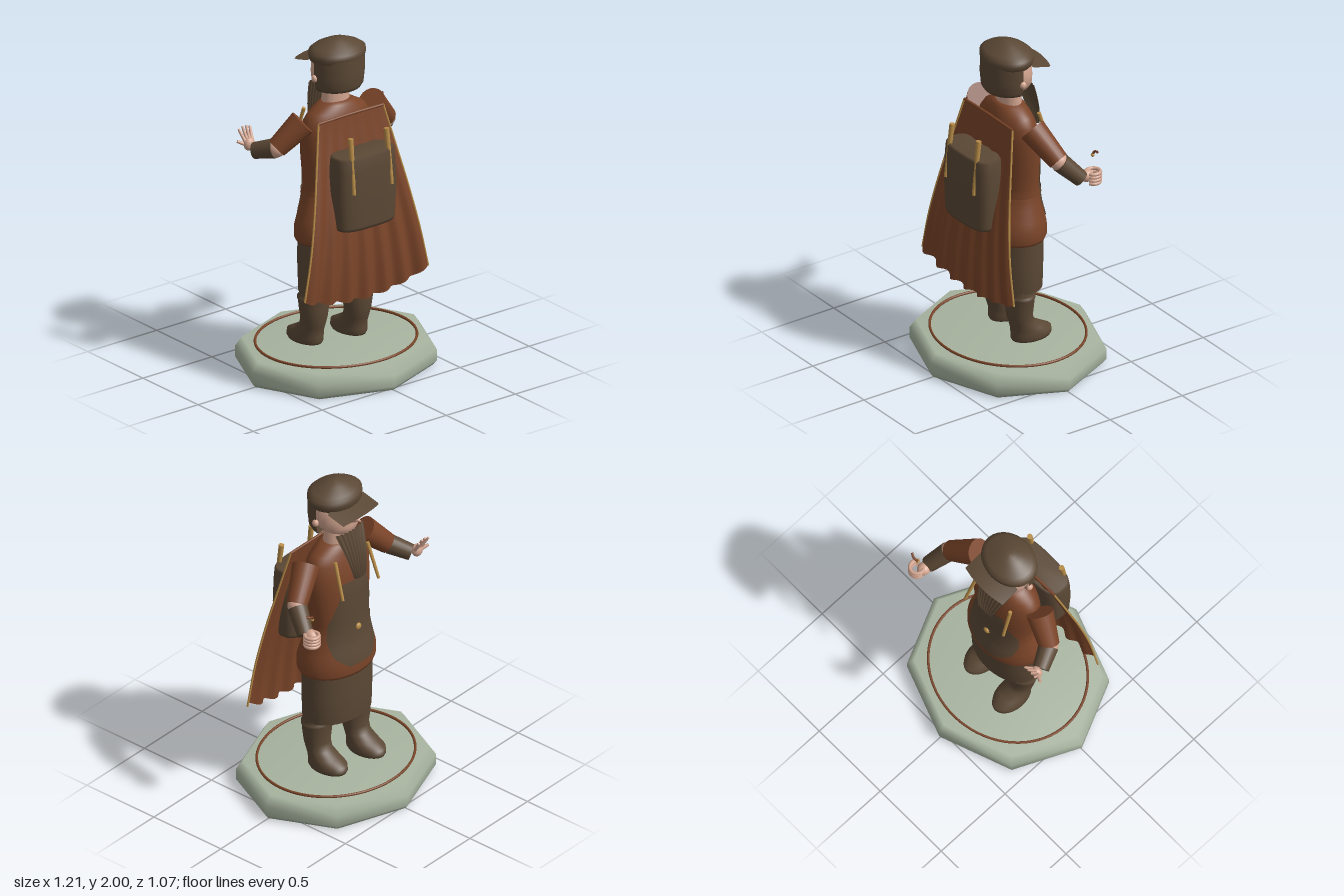
import * as THREE from 'three';

const V = (x, y, z) => new THREE.Vector3(x, y, z);
const mat = (name, color, side = THREE.FrontSide) => {
  const m = new THREE.MeshStandardMaterial({ color, side });
  m.name = name;
  return m;
};

// Smooth surface from a function of u and v in 0..1, optionally closed in u
function grid(nu, nv, fn, closed = false) {
  const pos = [], idx = [], w = closed ? nu : nu + 1;
  for (let j = 0; j <= nv; j++) for (let i = 0; i < w; i++) pos.push(...fn(i / nu, j / nv));
  for (let j = 0; j < nv; j++) for (let i = 0; i < nu; i++) {
    const a = j * w + i, b = j * w + ((i + 1) % w);
    idx.push(a, b, b + w, a, b + w, a + w);
  }
  const g = new THREE.BufferGeometry();
  g.setAttribute('position', new THREE.Float32BufferAttribute(pos, 3));
  g.setIndex(idx);
  g.computeVertexNormals();
  return g;
}

// Rows are [y, centre z, radius x, radius z]; p below 1 squares the section
const ring = (r, a, x = 0, p = 1, off = 0) => {
  const s = Math.sin(a), c = Math.cos(a);
  return [x + Math.sign(s) * Math.abs(s) ** p * (r[2] + off), r[0],
    r[1] + Math.sign(c) * Math.abs(c) ** p * (r[3] + off)];
};
const loft = (rows, x = 0, p = 1) => grid(48, rows.length - 1,
  (u, v) => ring(rows[Math.round(v * (rows.length - 1))], u * Math.PI * 2, x, p), true);
function rowAt(rows, y) {
  let i = 0;
  while (i < rows.length - 2 && rows[i + 1][0] < y) i++;
  const t = (y - rows[i][0]) / (rows[i + 1][0] - rows[i][0]);
  return rows[i].map((a, k) => a + (rows[i + 1][k] - a) * t);
}
// Thin patch lying on a loft, centred on angle mid, half width given by height
const patch = (rows, y0, y1, mid, half, off) => grid(48, 24, (u, v) => {
  const y = y0 + (y1 - y0) * v;
  return ring(rowAt(rows, y), mid + (u * 2 - 1) * half(v), 0, 1, off);
});

export function createModel() {
  const M = {
    stone: mat('stone', 0xa7b39f), rust: mat('rust cloth', 0x7a4428, THREE.DoubleSide),
    brown: mat('dark brown', 0x5b4835, THREE.DoubleSide), skin: mat('skin', 0xd3a590),
    gold: mat('gold', 0xb88d48), eye: mat('eye', 0x2a2320),
  };
  const model = new THREE.Group();
  const add = (name, geo, m, parent = model) => {
    const mesh = new THREE.Mesh(geo, m);
    mesh.name = name;
    parent.add(mesh);
    return mesh;
  };
  const limb = (name, a, b, ra, rb, m, parent) => {
    const mesh = add(name, new THREE.CylinderGeometry(rb, ra, a.distanceTo(b), 20), m, parent);
    mesh.position.copy(a).add(b).multiplyScalar(0.5);
    mesh.quaternion.setFromUnitVectors(V(0, 1, 0), b.clone().sub(a).normalize());
    return mesh;
  };
  const ball = (name, p, r, m, s = [1, 1, 1], parent = model) => {
    const mesh = add(name, new THREE.SphereGeometry(r, 20, 14), m, parent);
    mesh.position.copy(p);
    mesh.scale.set(...s);
    return mesh;
  };
  const tube = (name, pts, r, m, parent) =>
    add(name, new THREE.TubeGeometry(new THREE.CatmullRomCurve3(pts), 28, r, 8), m, parent);

  // Eight-sided plinth with an inlaid ring
  const base = [[0, 0], [0.585, 0], [0.606, 0.025], [0.606, 0.09], [0.565, 0.147], [0, 0.15]];
  add('plinth', new THREE.LatheGeometry(base.map(p => new THREE.Vector2(...p)), 8), M.stone).scale.z = 0.886;
  const inlay = add('plinthRing', new THREE.TorusGeometry(0.48, 0.008, 8, 72), M.rust);
  inlay.rotation.x = Math.PI / 2;
  inlay.scale.y = 0.885;
  inlay.position.y = 0.154;

  // Boots and legs, one foot ahead of the other
  const boot = [[0.15, -0.08, 0, 0], [0.15, -0.08, 0.078, 0.122], [0.165, -0.08, 0.086, 0.13],
    [0.195, -0.078, 0.086, 0.128], [0.225, -0.05, 0.08, 0.1], [0.26, -0.015, 0.075, 0.075],
    [0.31, 0, 0.08, 0.074], [0.38, 0, 0.092, 0.079], [0.43, 0, 0.097, 0.081],
    [0.432, 0, 0.101, 0.085], [0.45, 0, 0.101, 0.085], [0.454, 0, 0.088, 0.074], [0.56, 0, 0.088, 0.074]];
  for (const [x, dz] of [[-0.14, -0.025], [0.14, 0.02]])
    add('boot', loft(boot.map(r => [r[0], r[1] + dz, r[2], r[3]]), x), M.brown);
  add('breeches', loft([[0.5, -0.005, 0, 0], [0.475, -0.005, 0.22, 0.15], [0.475, -0.007, 0.235, 0.163],
    [0.65, -0.007, 0.242, 0.166], [0.84, -0.007, 0.24, 0.167]]), M.brown);

  // Jacket
  const coat = [[0.8, -0.002, 0.23, 0.16], [0.79, -0.002, 0.252, 0.188], [0.81, -0.002, 0.262, 0.194],
    [0.87, -0.002, 0.262, 0.192], [0.93, -0.005, 0.245, 0.177], [1.0, -0.013, 0.22, 0.153],
    [1.07, -0.02, 0.203, 0.138], [1.12, -0.02, 0.2, 0.135], [1.22, -0.014, 0.213, 0.14],
    [1.34, -0.01, 0.228, 0.142], [1.44, -0.005, 0.232, 0.135], [1.52, 0, 0.222, 0.118],
    [1.57, 0, 0.185, 0.1], [1.61, 0, 0.115, 0.083], [1.625, 0, 0.075, 0.065], [1.625, 0, 0, 0]];
  add('jacket', loft(coat), M.rust);
  const coatSide = coat.slice(1);
  // Apron painted over the front of the jacket
  const span = [0.35, 0.75, 0.95, 1.1, 1.05, 0.85, 0.65, 0.52, 0.45];
  add('apron', patch(coatSide, 0.86, 1.4, Math.PI, v => {
    const t = Math.min(v * 8, 7.999), i = Math.floor(t);
    return span[i] + (span[i + 1] - span[i]) * (t - i);
  }, 0.005), M.brown);
  add('belt', patch(coatSide, 1.065, 1.1, 0, () => 2.1, 0.007), M.rust);
  add('beltFront', patch(coatSide, 1.065, 1.1, Math.PI, () => 1.06, 0.009), M.brown);
  ball('buckle', V(0, 1.083, -0.167), 0.021, M.gold, [1, 1, 0.6]);
  for (const s of [-1, 1])
    limb('chestStrap', V(s * 0.155, 1.34, -0.185), V(s * 0.14, 1.56, -0.115), 0.009, 0.011, M.gold);

  // Cape with wavy hem and trimmed edges
  const capePoint = (u, v) => {
    const q = u * 2 - 1, y0 = 0.495 + 0.075 * q * q + 0.006 * Math.sin(q * 22);
    const f = 1 - v;
    return [q * (0.235 + 0.212 * f), y0 + (1.565 - y0) * v,
      0.135 + 0.15 * Math.sin(f * Math.PI / 2) ** 1.1 + f * 0.016 * Math.cos(q * 21)];
  };
  add('cape', grid(80, 30, capePoint), M.rust);
  for (const u of [0, 1])
    tube('capeTrim', [0, 0.25, 0.5, 0.75, 1].map(v => V(...capePoint(u, v))), 0.006, M.gold);
  tube('capeCollar', [V(-0.235, 1.565, 0.135), V(0, 1.567, 0.133), V(0.235, 1.565, 0.135)], 0.008, M.rust);

  // Pack with two posts
  add('backpack', loft([[0.94, 0.24, 0, 0], [0.94, 0.24, 0.195, 0.095], [0.96, 0.24, 0.202, 0.101],
    [1.15, 0.24, 0.212, 0.104], [1.3, 0.24, 0.207, 0.1], [1.37, 0.24, 0.202, 0.094],
    [1.383, 0.24, 0.192, 0.085], [1.383, 0.24, 0, 0]], 0, 0.65), M.brown);
  for (const s of [-1, 1])
    limb('packPost', V(s * 0.137, 1.17, 0.335), V(s * 0.13, 1.5, 0.295), 0.011, 0.016, M.gold);

  // Neck, head, hair and face
  limb('neck', V(0, 1.58, -0.005), V(0, 1.75, -0.005), 0.09, 0.085, M.skin).scale.z = 0.75;
  add('head', loft([[1.69, -0.035, 0, 0], [1.69, -0.035, 0.065, 0.06], [1.71, -0.03, 0.1, 0.09],
    [1.75, -0.015, 0.138, 0.115], [1.8, -0.005, 0.15, 0.125], [1.86, 0, 0.15, 0.125],
    [1.93, 0, 0.12, 0.11], [1.93, 0, 0, 0]]), M.skin);
  const hair = [[1.715, 0.005, 0.06, 0.05], [1.705, 0.008, 0.142, 0.128], [1.73, 0.008, 0.156, 0.143],
    [1.8, 0.008, 0.165, 0.148], [1.9, 0.008, 0.165, 0.146]];
  add('hair', grid(40, 4, (u, v) => ring(hair[Math.round(v * 4)], (u * 2 - 1) * 1.57)), M.brown);
  const nose = add('nose', new THREE.ConeGeometry(0.036, 0.085, 16), M.skin);
  nose.rotation.x = -Math.PI / 2;
  nose.position.set(0, 1.8, -0.15);
  for (const s of [-1, 1]) {
    ball('ear', V(s * 0.165, 1.787, 0.012), 0.022, M.skin, [0.8, 1, 0.9]);
    ball('eye', V(s * 0.055, 1.825, -0.12), 0.013, M.eye, [1, 0.8, 0.5]);
    tube('eyebrow', [V(s * 0.03, 1.845, -0.13), V(s * 0.06, 1.853, -0.121), V(s * 0.09, 1.842, -0.107)], 0.006, M.brown);
  }
  // Pleated beard
  add('beard', grid(64, 12, (u, v) => {
    const q = u * 2 - 1, f = 1 - v;
    return [q * (0.055 + 0.065 * v), 1.42 + 0.3 * v + 0.02 * q * q * f,
      -0.125 - 0.058 * Math.sin(f * 1.57) + 0.025 * q * q * v + 0.004 * Math.cos(q * 26)];
  }), M.brown);

  // Peaked cap
  add('cap', loft([[1.87, 0.01, 0, 0], [1.87, 0.01, 0.155, 0.13], [1.885, 0.01, 0.17, 0.138],
    [1.91, 0.01, 0.177, 0.142], [1.935, 0.01, 0.174, 0.14], [1.955, 0.01, 0.145, 0.118],
    [1.985, 0.01, 0.075, 0.06], [1.998, 0.01, 0.035, 0.03], [2, 0.01, 0, 0]]), M.brown);
  const peak = dy => (u, v) => {
    const q = u * 2 - 1;
    return [q * 0.153, 1.89 - 0.03 * v - 0.012 * q * q + dy, -0.07 - 0.138 * v + 0.022 * q * q * v];
  };
  add('capPeak', grid(24, 6, peak(0)), M.brown);
  add('capPeakUnderside', grid(24, 6, peak(-0.008)), M.brown);

  // Arms: sleeve, bare elbow and forearm cuff
  const arm = (name, shoulder, elbow, wrist) => {
    const g = new THREE.Group();
    g.name = name;
    model.add(g);
    limb('sleeve', shoulder, elbow, 0.08, 0.06, M.rust, g);
    ball('elbow', elbow, 0.054, M.skin, [1, 1, 1], g);
    limb('forearm', elbow.clone().lerp(wrist, 0.08), wrist, 0.058, 0.048, M.brown, g);
    return g;
  };
  const leftArm = arm('leftArm', V(0.25, 1.54, 0.01), V(0.41, 1.385, -0.06), V(0.468, 1.262, -0.175));
  const rightArm = arm('rightArm', V(-0.25, 1.54, 0.01), V(-0.39, 1.4, -0.05), V(-0.452, 1.36, -0.175));

  // Curled hand holding a small hook
  ball('palm', V(0.465, 1.27, -0.215), 0.038, M.skin, [1, 1, 1.1], leftArm);
  for (let i = 0; i < 4; i++) {
    const finger = add('finger', new THREE.TorusGeometry(0.04, 0.011, 8, 24, 5.2), M.skin, leftArm);
    finger.rotation.set(Math.PI / 2, 0, 2.2);
    finger.position.set(0.492, 1.238 + i * 0.02, -0.243);
  }
  tube('hook', [V(0.485, 1.4, -0.24), V(0.495, 1.425, -0.25), V(0.515, 1.432, -0.25),
    V(0.535, 1.44, -0.24)], 0.007, M.rust, leftArm);
  ball('hookTip', V(0.487, 1.402, -0.242), 0.011, M.gold, [1, 1, 1], leftArm);

  // Open hand with spread fingers
  ball('palm', V(-0.458, 1.39, -0.213), 0.036, M.skin, [1, 1.1, 0.8], rightArm);
  for (let i = 0; i < 4; i++)
    limb('finger', V(-0.48 + i * 0.016, 1.405, -0.22),
      V(-0.497 + i * 0.027, 1.475 + (i % 3 ? 0.01 : 0), -0.262), 0.011, 0.007, M.skin, rightArm);
  limb('thumb', V(-0.47, 1.385, -0.215), V(-0.52, 1.41, -0.245), 0.013, 0.008, M.skin, rightArm);
  return model;
}
